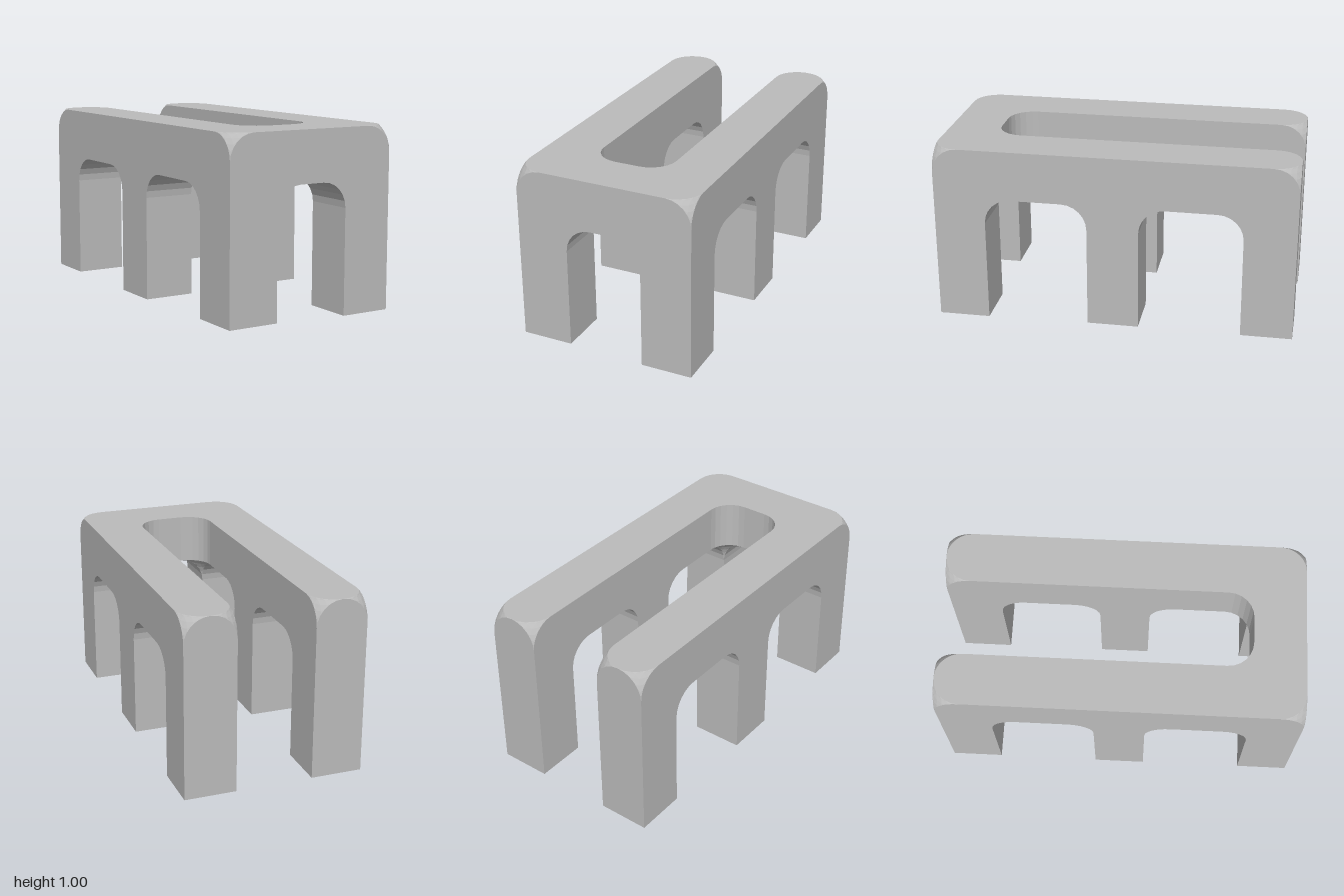
import * as THREE from 'three';

const R = 0.143;      // corner radius
const IN = 0.214;     // inner face of the arms
const IZ = 0.714;     // rear face of the front beam
const T = 0.72;       // underside of the beams
const SEG = 6;        // segments per rounded corner
const PI = Math.PI;

// foot heights: front, middle, back for each side
const FEET = { 1: [0, 0.01, 0.01], [-1]: [0.015, 0.005, 0.01] };

const V = (x, y, z) => new THREE.Vector3(x, y, z);

function arc(cx, cy, a0, a1) {
  return Array.from({ length: SEG + 1 }, (_, i) => {
    const a = a0 + (a1 - a0) * i / SEG;
    return [cx + R * Math.cos(a), cy + R * Math.sin(a)];
  });
}

// opening outline from one foot to the next
function arch(c, h, y0, y1) {
  return [[c - h, y0], ...arc(c - h + R, T - R, PI, PI / 2),
    ...arc(c + h - R, T - R, PI / 2, 0), [c + h, y1]];
}

export function createModel() {
  const group = new THREE.Group();
  const grey = new THREE.MeshStandardMaterial({ color: 0xbbbbbb });
  grey.name = 'light grey';

  // facets are turned so that each one looks along facing(centre)
  function addFacets(name, tris, facing) {
    const pos = [];
    for (const [a, b, c] of tris) {
      const n = b.clone().sub(a).cross(c.clone().sub(a));
      if (n.length() < 1e-9) continue;
      const mid = a.clone().add(b).add(c).divideScalar(3);
      const order = n.dot(facing(mid)) > 0 ? [a, b, c] : [a, c, b];
      for (const p of order) pos.push(p.x, p.y, p.z);
    }
    const geo = new THREE.BufferGeometry();
    geo.setAttribute('position', new THREE.Float32BufferAttribute(pos, 3));
    geo.computeVertexNormals();
    const mesh = new THREE.Mesh(geo, grey);
    mesh.name = name;
    group.add(mesh);
  }

  // flat face from an outline
  function panel(name, outline, map, normal) {
    const pts = outline.filter((p, i) => {
      const q = outline[(i + 1) % outline.length];
      return Math.hypot(p[0] - q[0], p[1] - q[1]) > 1e-6;
    }).map(p => new THREE.Vector2(p[0], p[1]));
    const tris = THREE.ShapeUtils.triangulateShape(pts, [])
      .map(t => t.map(i => map(pts[i].x, pts[i].y)));
    addFacets(name, tris, () => normal);
  }

  // strip swept between depths d0 and d1
  function ribbon(name, path, map, d0, d1, facing) {
    const tris = [];
    for (let i = 0; i + 1 < path.length; i++) {
      const [p, q] = [path[i], path[i + 1]];
      const a = map(p[0], p[1], d0), b = map(q[0], q[1], d0);
      const c = map(q[0], q[1], d1), d = map(p[0], p[1], d1);
      tris.push([a, b, c], [a, c, d]);
    }
    addFacets(name, tris, facing);
  }

  // spherical corner blend whose three edges are arcs on the adjoining faces
  function cornerPatch(name, centre, sx, sz, outward) {
    const point = (i, j) => {
      const w = [i, j, SEG - i - j].map(k => Math.sin(k / SEG * PI / 2) ** 2);
      const sum = w[0] + w[1] + w[2];
      const [a, b, c] = w.map(k => R * Math.sqrt(Math.max(0, 1 - k / sum)));
      return V(centre.x + sx * a, centre.y + b, centre.z + sz * c);
    };
    const tris = [];
    for (let i = 0; i < SEG; i++) {
      for (let j = 0; j < SEG - i; j++) {
        tris.push([point(i, j), point(i + 1, j), point(i, j + 1)]);
        if (i + j < SEG - 1) tris.push([point(i + 1, j), point(i + 1, j + 1), point(i, j + 1)]);
      }
    }
    addFacets(name, tris, m => m.sub(centre).multiplyScalar(outward));
  }

  // top deck
  const armEnd = c => [...arc(c, -1 + R, PI, 1.5 * PI), ...arc(c, -1 + R, 1.5 * PI, 2 * PI)];
  panel('topDeck', [
    ...arc(0.5 - R, 1 - R, 0, PI / 2), ...arc(-0.5 + R, 1 - R, PI / 2, PI),
    ...armEnd(-0.357),
    ...arc(-IN + R, IZ - R, PI, PI / 2), ...arc(IN - R, IZ - R, PI / 2, 0),
    ...armEnd(0.357),
  ], (x, z) => V(x, 1, z), V(0, 1, 0));

  // front face and its arch
  const frontArch = arch(0, IN, FEET[-1][0], FEET[1][0]);
  panel('frontFace', [
    [-0.5, FEET[-1][0]], ...frontArch, [0.5, FEET[1][0]],
    ...arc(0.5 - R, 1 - R, 0, PI / 2), ...arc(-0.5 + R, 1 - R, PI / 2, PI),
  ], (x, y) => V(x, y, 1), V(0, 0, 1));
  ribbon('frontArch', frontArch, (x, y, z) => V(x, y, z), IZ, 1,
    m => V(-m.x, Math.min(0, 0.5 - m.y), 0));

  // curved inner end of the long slot
  ribbon('slotEnd',
    [...arc(-IN + R, IZ - R, PI, PI / 2), ...arc(IN - R, IZ - R, PI / 2, 0)],
    (x, z, y) => V(x, y, z), T, 1, m => V(-m.x, 0, 0.4 - m.z));

  for (const s of [1, -1]) {
    const side = s > 0 ? 'left' : 'right';
    const [front, middle, back] = FEET[s];
    const rearArch = arch(-0.4285, 0.2855, back, middle);
    const foreArch = arch(0.4285, 0.2855, middle, front);

    // outer and inner faces of the arm
    panel(side + 'OuterFace', [
      [-1, back], ...rearArch, ...foreArch, [1, front],
      ...arc(1 - R, 1 - R, 0, PI / 2), ...arc(-1 + R, 1 - R, PI / 2, PI),
    ], (z, y) => V(s * 0.5, y, z), V(s, 0, 0));
    panel(side + 'InnerFace', [
      [-1, back], ...rearArch, ...foreArch.slice(0, SEG + 2),
      [IZ - R, T], [IZ - R, 1], ...arc(-1 + R, 1 - R, PI / 2, PI),
    ], (z, y) => V(s * IN, y, z), V(-s, 0, 0));

    // side arches
    for (const [name, path, c] of [['RearArch', rearArch, -0.4285], ['ForeArch', foreArch, 0.4285]]) {
      ribbon(side + name, path, (z, y, x) => V(s * x, y, z), IN, 0.5,
        m => V(0, Math.min(0, 0.5 - m.y), c - m.z));
    }

    // back end of the arm
    panel(side + 'BackFace', [
      [IN, back], [0.5, back],
      ...arc(0.5 - R, 1 - R, 0, PI / 2), ...arc(IN + R, 1 - R, PI / 2, PI),
    ], (x, y) => V(s * x, y, -1), V(0, 0, -1));

    // soles of the feet
    [[IZ, 1, front], [-R, R, middle], [-1, -IZ, back]].forEach(([z0, z1, y]) =>
      panel(side + 'Foot', [[IN, z0], [0.5, z0], [0.5, z1], [IN, z1]],
        (x, z) => V(s * x, y, z), V(0, -1, 0)));

    // blended corners
    cornerPatch(side + 'FrontCorner', V(s * 0.357, 1 - R, 1 - R), s, 1, 1);
    cornerPatch(side + 'BackOuterCorner', V(s * 0.357, 1 - R, -1 + R), s, -1, 1);
    cornerPatch(side + 'BackInnerCorner', V(s * 0.357, 1 - R, -1 + R), -s, -1, 1);
    cornerPatch(side + 'SlotCorner', V(s * (IN - R), T - R, IZ - R), s, 1, -1);
  }
  return group;
}
